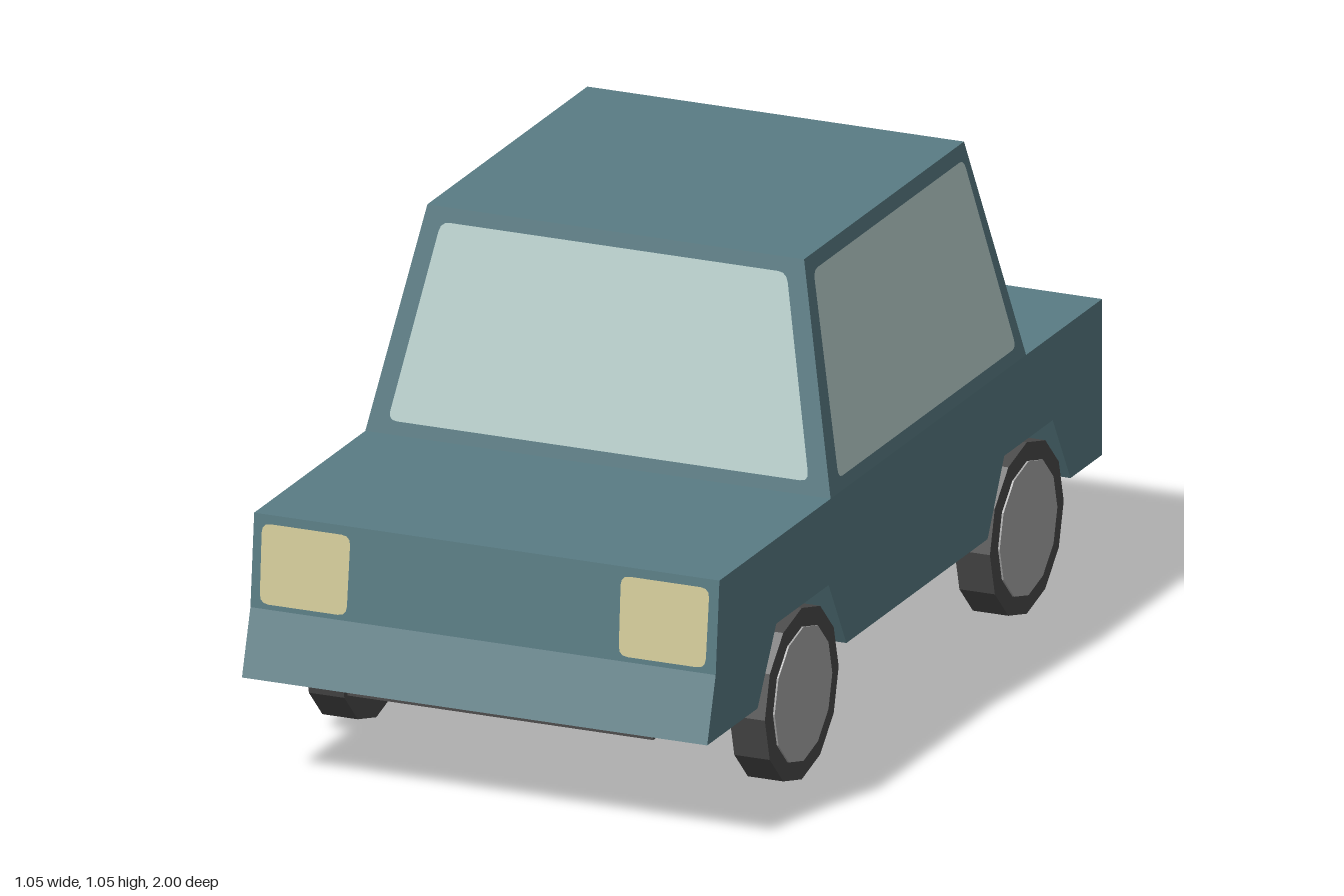
import * as THREE from 'three';

const material = (name, color) => {
  const m = new THREE.MeshStandardMaterial({ color, flatShading: true });
  m.name = name;
  return m;
};

// Four-sided outline with slightly rounded corners
function roundedOutline(corners, r) {
  const pts = corners.map(([x, y]) => new THREE.Vector2(x, y));
  const shape = new THREE.Shape();
  pts.forEach((p, i) => {
    const prev = pts[(i + pts.length - 1) % pts.length];
    const next = pts[(i + 1) % pts.length];
    const a = p.clone().add(prev.clone().sub(p).setLength(r));
    const b = p.clone().add(next.clone().sub(p).setLength(r));
    if (i === 0) shape.moveTo(a.x, a.y);
    else shape.lineTo(a.x, a.y);
    shape.quadraticCurveTo(p.x, p.y, b.x, b.y);
  });
  shape.closePath();
  return shape;
}

// Thin panel in x/y that leans so that z follows depthAt(y)
function panel(halfBottom, halfTop, y0, y1, cx, depthAt) {
  const outline = roundedOutline([
    [cx - halfBottom, y0], [cx + halfBottom, y0], [cx + halfTop, y1], [cx - halfTop, y1],
  ], 0.02);
  const geo = new THREE.ShapeGeometry(outline, 3);
  const pos = geo.attributes.position;
  for (let i = 0; i < pos.count; i++) pos.setZ(i, depthAt(pos.getY(i)) + 0.004);
  geo.computeVertexNormals();
  return geo;
}

export function createModel() {
  const car = new THREE.Group();
  car.name = 'car';

  const paint = material('body paint', 0x597c84);
  const glass = material('window glass', 0xbcd3d0);
  const lamp = material('lamp', 0xd5cd9b);
  const rubber = material('tyre rubber', 0x4b4b4b);
  const metal = material('hub metal', 0xa8a8a8);
  const frame = material('chassis', 0x4e4c4c);

  const add = (name, geo, mat, parent = car) => {
    const mesh = new THREE.Mesh(geo, mat);
    mesh.name = name;
    parent.add(mesh);
    return mesh;
  };

  // Lower body: side profile with wheel arches, as [z, y]
  const profile = [
    [-1, 0.23], [-0.84, 0.23], [-0.75, 0.385], [-0.505, 0.385], [-0.42, 0.23],
    [0.295, 0.23], [0.385, 0.385], [0.65, 0.385], [0.745, 0.23],
    [1, 0.23], [0.957, 0.37], [0.938, 0.57], [-1, 0.57],
  ];
  const bodyShape = new THREE.Shape(profile.map(([z, y]) => new THREE.Vector2(z, y)));
  const bodyGeo = new THREE.ExtrudeGeometry(bodyShape, { depth: 1.05, bevelEnabled: false });
  bodyGeo.rotateY(-Math.PI / 2).translate(0.525, 0, 0);
  add('body', bodyGeo, paint);

  // Cabin: box narrowed towards the roof
  const cabinGeo = new THREE.BoxGeometry(1.05, 0.48, 0.99);
  const cp = cabinGeo.attributes.position;
  for (let i = 0; i < cp.count; i++) {
    if (cp.getY(i) > 0) {
      cp.setX(i, Math.sign(cp.getX(i)) * 0.425);
      cp.setZ(i, Math.sign(cp.getZ(i)) * 0.405);
    }
  }
  cabinGeo.computeVertexNormals();
  add('cabin', cabinGeo, paint).position.set(0, 0.81, -0.12);

  // Windows on all four sides of the cabin
  const lean = (low, high) => (y) => THREE.MathUtils.mapLinear(y, 0.57, 1.05, low, high);
  const windows = [
    ['windscreen', 0, 0.475, 0.39, lean(0.495, 0.405)],
    ['rearWindow', Math.PI, 0.475, 0.39, lean(0.495, 0.405)],
    ['leftWindow', Math.PI / 2, 0.45, 0.38, lean(0.525, 0.425)],
    ['rightWindow', -Math.PI / 2, 0.45, 0.38, lean(0.525, 0.425)],
  ];
  for (const [name, turn, low, high, depth] of windows) {
    const geo = panel(low, high, 0.6, 1.02, 0, depth);
    geo.rotateY(turn);
    add(name, geo, glass).position.z = -0.12;
  }

  // Chassis plate
  add('chassisPlate', new THREE.BoxGeometry(0.69, 0.06, 1.82), frame).position.set(0, 0.205, -0.04);

  // Axles and wheels
  for (const [end, z] of [['front', 0.51], ['rear', -0.63]]) {
    add(end + 'Axle', new THREE.BoxGeometry(0.89, 0.07, 0.07), frame).position.set(0, 0.19, z);
    for (const side of [1, -1]) {
      const wheel = new THREE.Group();
      wheel.name = end + (side > 0 ? 'Left' : 'Right') + 'Wheel';
      wheel.position.set(side * 0.48, 0.187, z);
      car.add(wheel);
      const tyre = new THREE.CylinderGeometry(0.187, 0.187, 0.08, 12);
      add('tyre', tyre.rotateZ(-side * Math.PI / 2), rubber, wheel);
      const hub = new THREE.CylinderGeometry(0.146, 0.146, 0.006, 12);
      add('hub', hub.rotateZ(-side * Math.PI / 2), metal, wheel).position.x = side * 0.041;
    }
  }

  // Headlights on the sloping nose, tail lights on the upright back
  const nose = (y) => THREE.MathUtils.mapLinear(y, 0.37, 0.57, 0.957, 0.938);
  for (const side of [1, -1]) {
    const label = side > 0 ? 'left' : 'right';
    add(label + 'Headlight', panel(0.098, 0.1, 0.382, 0.552, side * 0.405, nose), lamp);
    const tail = panel(0.075, 0.075, 0.31, 0.52, side * 0.405, () => 1 - 0.002);
    add(label + 'TailLight', tail.rotateY(Math.PI), lamp);
  }

  return car;
}
